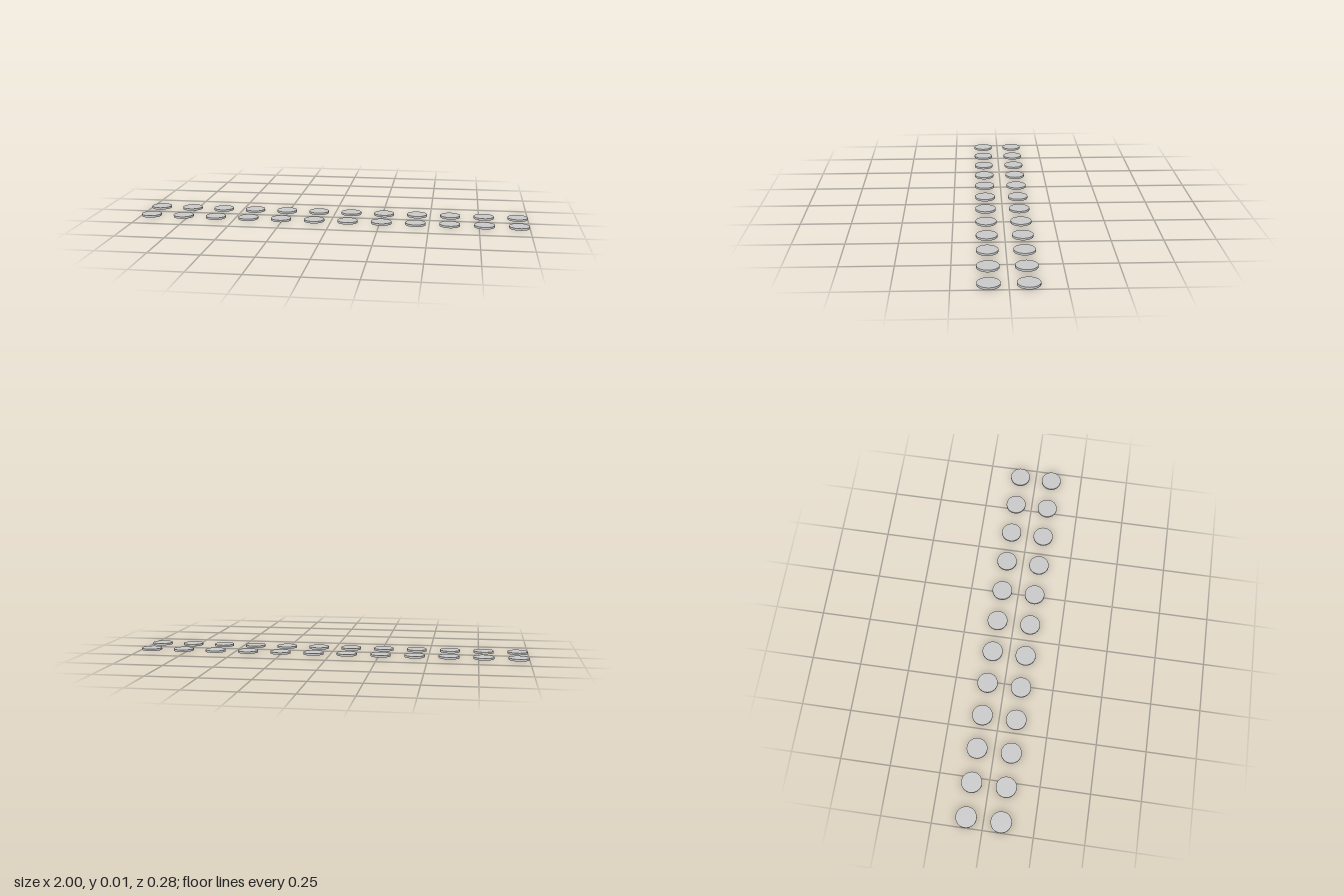
import * as THREE from 'three';

export function createModel() {
  const model = new THREE.Group();
  model.name = 'studGrid';

  const lightGrey = new THREE.MeshStandardMaterial({ color: 0xc8c8c8 });
  lightGrey.name = 'lightGrey';

  // Two rows of twelve flat round studs, evenly spaced
  const columns = 12, rows = 2;
  const pitch = 2 / (columns - 1 + 0.6);
  const radius = 0.3 * pitch;
  const height = 0.06 * pitch;
  const disc = new THREE.CylinderGeometry(radius, radius, height, 48);

  for (let row = 0; row < rows; row++) {
    const rowGroup = new THREE.Group();
    rowGroup.name = row === 0 ? 'backRow' : 'frontRow';
    rowGroup.position.z = (row - (rows - 1) / 2) * pitch;
    for (let col = 0; col < columns; col++) {
      const stud = new THREE.Mesh(disc, lightGrey);
      stud.name = 'stud';
      stud.position.set((col - (columns - 1) / 2) * pitch, height / 2, 0);
      rowGroup.add(stud);
    }
    model.add(rowGroup);
  }
  return model;
}
